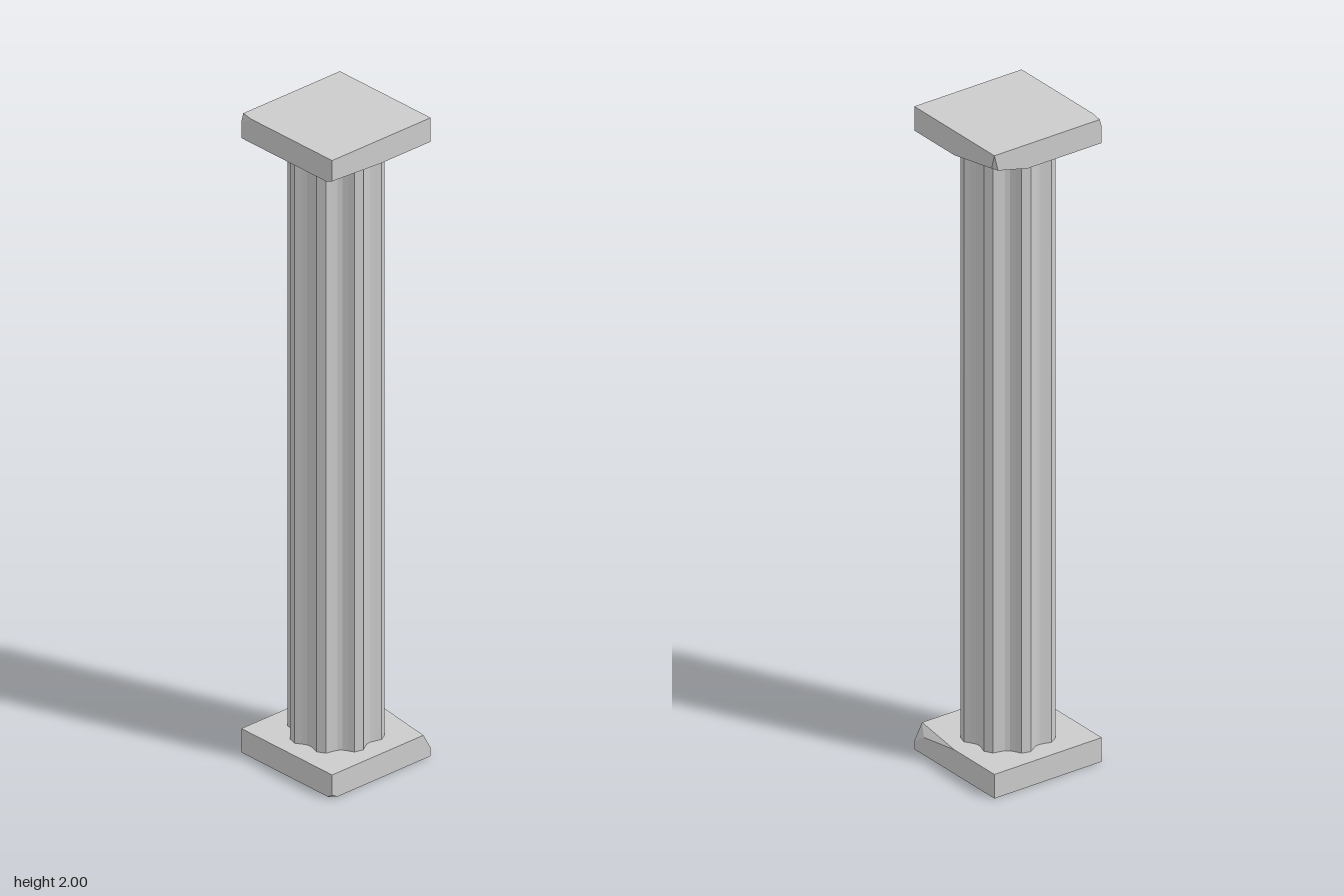
import * as THREE from 'three';
import { ConvexGeometry } from 'three/addons/geometries/ConvexGeometry.js';

const material = new THREE.MeshStandardMaterial({ color: 0xcccccc, flatShading: true });
const HALF = 0.185, SLAB = 0.075, HEIGHT = 2;

// Square slab whose chipped corners are replaced by a few cut points.
// Chip keys are the corner signs in x, y, z order, such as '+-+'.
function chippedSlab(name, y0, y1, chips) {
  const points = [];
  for (const sx of ['-', '+']) for (const sy of ['-', '+']) for (const sz of ['-', '+']) {
    const corner = [sx === '+' ? HALF : -HALF, sy === '+' ? y1 : y0, sz === '+' ? HALF : -HALF];
    const cut = chips[sx + sy + sz] || [corner];
    points.push(...cut.map((p) => new THREE.Vector3(...p)));
  }
  const mesh = new THREE.Mesh(new ConvexGeometry(points), material);
  mesh.name = name;
  return mesh;
}

// Shaft with eight flat ridges and hollow flutes between them
function flutedShaft() {
  const radius = 0.137, depth = 0.021, flutes = 8, steps = 5;
  const ridge = THREE.MathUtils.degToRad(11.5);
  const pitch = (Math.PI * 2) / flutes;
  const start = THREE.MathUtils.degToRad(-15) + ridge / 2;
  const outline = [];
  for (let i = 0; i < flutes; i++) {
    for (let j = 0; j <= steps; j++) {
      const t = j / steps;
      const a = start + i * pitch + t * (pitch - ridge);
      const r = radius - depth * Math.sin(Math.PI * t);
      outline.push(new THREE.Vector2(r * Math.sin(a), -r * Math.cos(a)));
    }
  }
  const geometry = new THREE.ExtrudeGeometry(new THREE.Shape(outline), {
    depth: HEIGHT - 2 * SLAB + 0.02, bevelEnabled: false,
  });
  geometry.rotateX(-Math.PI / 2).translate(0, SLAB - 0.01, 0);
  const mesh = new THREE.Mesh(geometry, material);
  mesh.name = 'flutedShaft';
  return mesh;
}

export function createModel() {
  const column = new THREE.Group();
  column.name = 'column';
  const under = HEIGHT - SLAB;

  // Base, worn along the top of its front corner
  column.add(chippedSlab('baseSlab', 0, SLAB, {
    '+++': [[HALF, SLAB, 0], [HALF, 0.055, 0.14], [HALF, 0.026, HALF], [0.158, SLAB, HALF]],
    '--+': [[-HALF, 0, 0.168], [-0.165, 0, HALF], [-HALF, 0.012, HALF]],
  }));

  column.add(flutedShaft());

  // Capital, broken away under its back corner
  column.add(chippedSlab('capitalSlab', under, HEIGHT, {
    '+--': [[HALF, under, 0], [0.07, under, -HALF], [HALF, 1.955, -0.172], [0.172, 1.95, -HALF]],
    '--+': [[0, under, HALF], [-HALF, under + 0.01, HALF], [-HALF, under, 0.16]],
    '-+-': [[-HALF, HEIGHT, -0.145], [-0.178, HEIGHT, -HALF], [-HALF, 1.975, -HALF]],
  }));
  return column;
}
